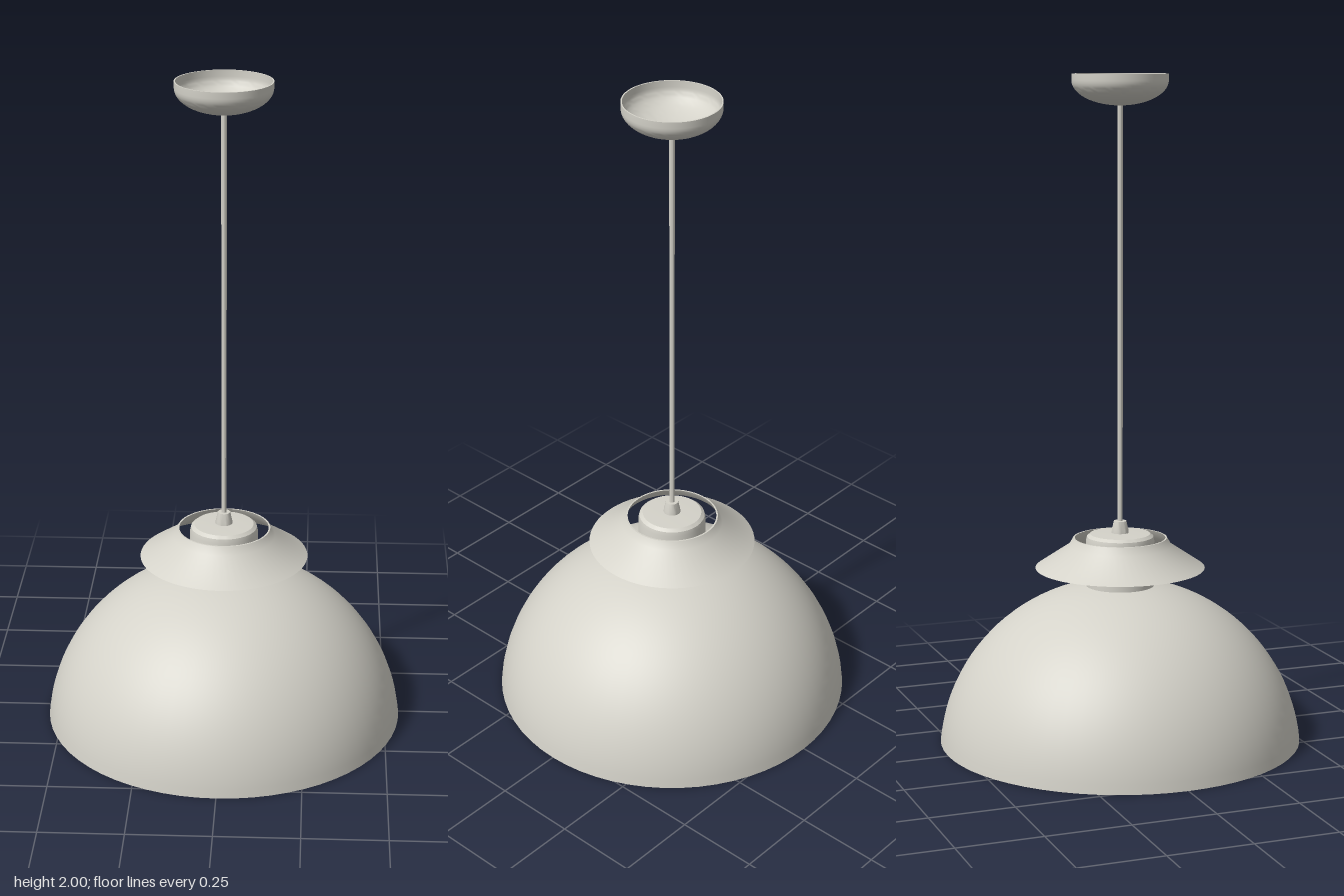
import * as THREE from 'three';
import { toCreasedNormals } from 'three/addons/utils/BufferGeometryUtils.js';

const SEGMENTS = 64;

export function createModel() {
  const lamp = new THREE.Group();
  lamp.name = 'pendantLamp';
  const paint = new THREE.MeshStandardMaterial({ color: 0xd4d2c9, side: THREE.DoubleSide });
  paint.name = 'warmGrey';

  // Spins a profile of [radius, height] pairs around the y axis
  const turned = (name, profile, segments = SEGMENTS) => {
    const points = profile.map(([r, y]) => new THREE.Vector2(r, y));
    const geometry = toCreasedNormals(new THREE.LatheGeometry(points, segments), 0.6);
    const mesh = new THREE.Mesh(geometry, paint);
    mesh.name = name;
    lamp.add(mesh);
  };

  // Elliptical arc running from angle a to angle b
  const arc = (rx, ry, cy, a, b, steps) =>
    Array.from({ length: steps + 1 }, (_, i) => {
      const t = a + ((b - a) * i) / steps;
      return [Math.max(0, rx * Math.cos(t)), cy + ry * Math.sin(t)];
    });

  // Dome shade: outer skin, rim and inner skin, with a hole for the socket
  const low = Math.asin(0.05 / 0.535);
  const lowInner = Math.asin(0.05 / 0.523);
  const outer = arc(0.548, 0.535, -0.05, low, 1.39, 24);
  const inner = arc(0.536, 0.523, -0.05, lowInner, 1.39, 24);
  turned('domeShade', [...inner.reverse(), ...outer, inner[0]]);

  // Socket housing between the dome and the cord
  turned('socketHousing', [
    [0, 0.455], [0.103, 0.455], [0.103, 0.612], [0.1, 0.625], [0.09, 0.633], [0, 0.637],
  ]);

  // Open flared collar around the socket
  turned('collarShade', [
    [0.249, 0.53], [0.255, 0.53], [0.155, 0.597], [0.141, 0.621],
    [0.136, 0.621], [0.15, 0.594], [0.249, 0.53],
  ]);

  // Cord grip, cord and bulb
  turned('cordGrip', [
    [0, 0.634], [0.026, 0.634], [0.025, 0.645], [0.019, 0.672], [0, 0.672],
  ], 24);
  turned('cord', [[0.008, 0.66], [0.008, 1.915]], 12);
  turned('bulb', [
    ...arc(0.083, 0.083, 0.247, -Math.PI / 2, 0.85, 18),
    [0.046, 0.335], [0.042, 0.37], [0.042, 0.46],
  ], 32);

  // Ceiling canopy, a thin bowl open at the top
  turned('ceilingCanopy', [
    ...arc(0.142, 0.073, 1.981, -Math.PI / 2, 0, 16),
    [0.142, 2], [0.138, 2],
    ...arc(0.138, 0.069, 1.981, 0, -Math.PI / 2, 16),
  ]);

  return lamp;
}
